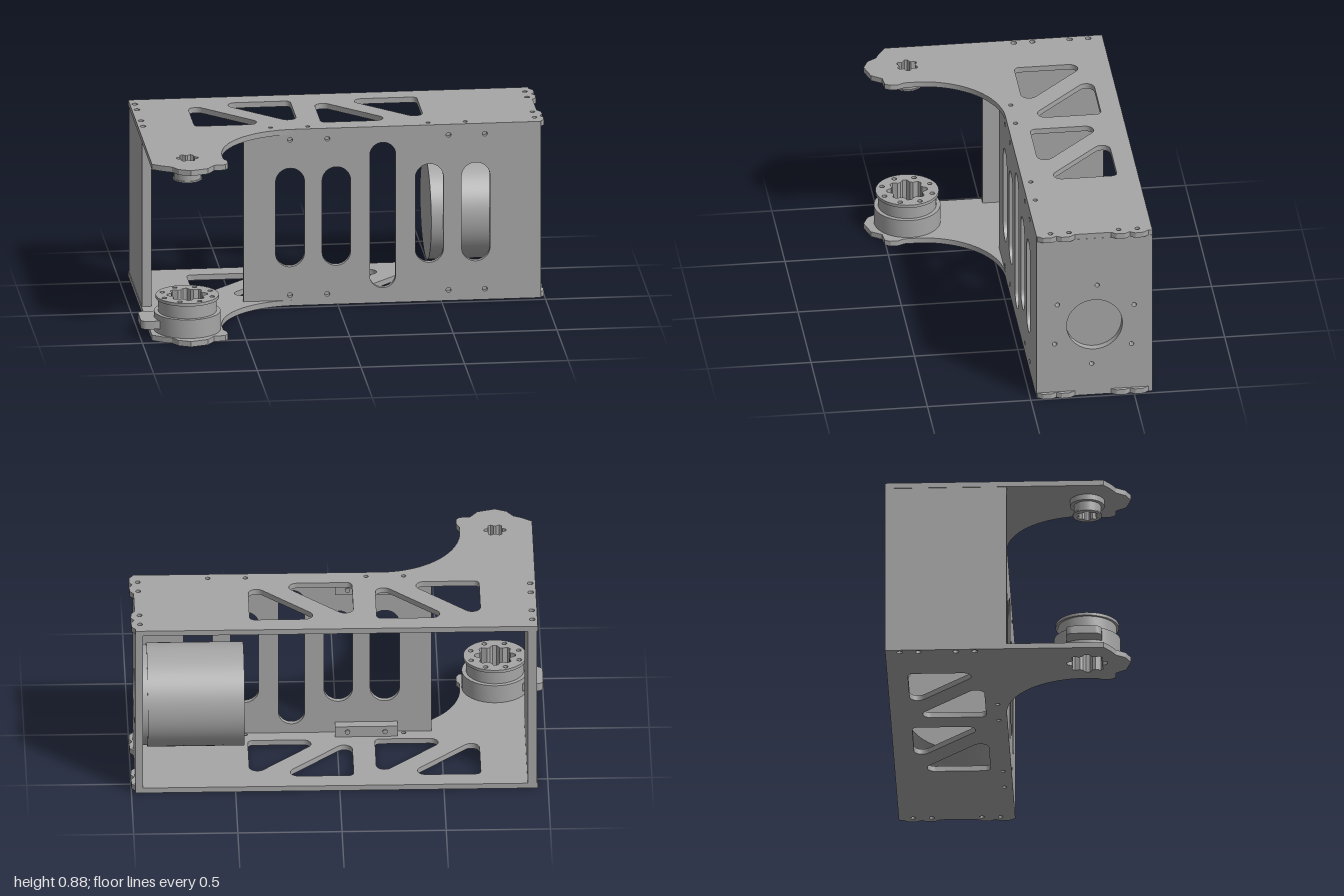
import * as THREE from 'three';
import { toCreasedNormals } from 'three/addons/utils/BufferGeometryUtils.js';

const metal = new THREE.MeshStandardMaterial({ color: 0xa6a6a6 });
metal.name = 'plain grey metal';

const V = (x, y) => new THREE.Vector2(x, y);

// Closed path through corners, each rounded with its own radius: [x, y, r]
function rounded(corners, Type = THREE.Path) {
  const pts = [];
  corners.forEach(([x, y, r], i) => {
    const p = V(x, y), n = corners.length;
    const a = V(...corners[(i + n - 1) % n]).sub(p).normalize();
    const b = V(...corners[(i + 1) % n]).sub(p).normalize();
    const half = Math.acos(a.dot(b)) / 2;
    const c = a.clone().add(b).normalize().multiplyScalar(r / Math.sin(half)).add(p);
    const t = r / Math.tan(half);
    const s = a.multiplyScalar(t).add(p).sub(c).angle();
    let d = b.multiplyScalar(t).add(p).sub(c).angle() - s;
    if (d > Math.PI) d -= 2 * Math.PI;
    if (d < -Math.PI) d += 2 * Math.PI;
    for (let k = 0; k <= 8; k++) {
      pts.push(V(c.x + r * Math.cos(s + d * k / 8), c.y + r * Math.sin(s + d * k / 8)));
    }
  });
  return new Type(pts);
}

const circle = (x, y, r, Type = THREE.Path) => new Type().absarc(x, y, r, 0, Math.PI * 2, false);

// Splined bore: circle with a wavy radius
function splined(x, y, r, wave, lobes) {
  const pts = [];
  for (let i = 0; i < lobes * 8; i++) {
    const t = i / (lobes * 8) * Math.PI * 2;
    const q = r + wave * Math.max(-0.6, Math.min(0.6, Math.cos(lobes * t))) / 0.6;
    pts.push(V(x + q * Math.cos(t), y + q * Math.sin(t)));
  }
  return new THREE.Path(pts);
}

// Vertical slot with round ends
function slot(x0, x1, y0, y1) {
  const r = (x1 - x0) / 2, c = (x0 + x1) / 2;
  const p = new THREE.Path();
  p.absarc(c, y1 - r, r, 0, Math.PI, false);
  p.absarc(c, y0 + r, r, Math.PI, Math.PI * 2, false);
  p.closePath();
  return p;
}

function extrude(shape, depth) {
  const g = new THREE.ExtrudeGeometry(shape, { depth, bevelEnabled: false, curveSegments: 24 });
  return toCreasedNormals(g, 0.5);
}

// Shapes lying flat use (x, -z) and rise from height y
const flat = (shape, y, h) => extrude(shape, h).rotateX(-Math.PI / 2).translate(0, y, 0);

export function createModel() {
  const model = new THREE.Group();
  const add = (name, geometry) => {
    const m = new THREE.Mesh(geometry, metal);
    m.name = name;
    model.add(m);
    return m;
  };
  const box = (name, x0, x1, y0, y1, z0, z1) => add(name,
    new THREE.BoxGeometry(x1 - x0, y1 - y0, z1 - z0)
      .translate((x0 + x1) / 2, (y0 + y1) / 2, (z0 + z1) / 2));

  const T = 0.027, H = 0.885;
  const hubX = -0.77, hubZ = 0.375;
  const screwX = [-0.32, -0.14, 0.44, 0.62];

  // Top and bottom plates: deck, curved arm and truss cut-outs
  function plate(isTop) {
    const s = new THREE.Shape();
    s.moveTo(-0.95, 0.59);
    s.lineTo(-0.95, -0.46);
    [[-0.9, 0.495], [-0.86, 0.515], [-0.83, 0.56], [-0.775, 0.585], [-0.69, 0.56], [-0.655, 0.51],
      [-0.6, 0.505], [-0.585, 0.48], [-0.585, 0.44], [-0.6, 0.41]].forEach(([x, z]) => s.lineTo(x, -z));
    s.absarc(-0.21, -0.36, 0.39, Math.PI, Math.PI / 2, true);
    s.lineTo(0.98, 0.03);
    // scalloped tabs on the right edge
    for (const z of [-0.125, -0.48]) {
      for (const [x, dz] of [[0.98, 0.09], [0.998, 0.065], [1, 0.025], [0.985, 0],
        [1, -0.025], [0.998, -0.065], [0.98, -0.09]]) s.lineTo(x, -(z + dz));
    }
    s.lineTo(0.98, 0.59);
    s.closePath();
    const m = z => (isTop ? -z : 0.62 + z);   // lower truss is mirrored
    for (const o of [0, 0.61]) {
      s.holes.push(
        rounded([[-0.68 + o, m(-0.49), 0.04], [-0.68 + o, m(-0.13), 0.025], [-0.32 + o, m(-0.13), 0.04]]),
        rounded([[-0.18 + o, m(-0.13), 0.04], [-0.18 + o, m(-0.49), 0.025], [-0.54 + o, m(-0.49), 0.04]]));
    }
    screwX.forEach(x => s.holes.push(circle(x, 0.07, 0.011)));
    for (const z of [-0.52, -0.43, -0.25, -0.16]) s.holes.push(circle(-0.925, -z, 0.014));
    for (const z of [-0.52, -0.43, -0.19, -0.1]) s.holes.push(circle(0.957, -z, 0.012));
    s.holes.push(isTop ? splined(hubX, -hubZ, 0.046, 0.007, 6) : splined(hubX, -hubZ, 0.088, 0.01, 8));
    return s;
  }
  add('topPlate', flat(plate(true), H - T, T));
  add('bottomPlate', flat(plate(false), 0, T));

  // Front plate with five slots
  const front = new THREE.Shape([V(-0.455, T), V(0.945, T), V(0.945, H - T), V(-0.455, H - T)]);
  [[-0.3, -0.16, 0.195, 0.69], [-0.075, 0.062, 0.195, 0.69], [0.155, 0.28, 0.075, 0.805],
    [0.375, 0.51, 0.195, 0.69], [0.598, 0.735, 0.195, 0.69]].forEach(a => front.holes.push(slot(...a)));
  for (const x of [-0.23, -0.05, 0.535, 0.71]) {
    for (const y of [0.053, 0.832]) front.holes.push(circle(x, y, 0.012));
  }
  add('frontPlate', extrude(front, 0.026).translate(0, 0, -0.056));

  // Right end wall with shaft opening and a ring of screw holes
  const side = new THREE.Shape([V(0.03, T), V(0.59, T), V(0.59, H - T), V(0.03, H - T)]);
  side.holes.push(circle(0.31, 0.385, 0.135));
  for (let i = 0; i < 6; i++) {
    const a = Math.PI * (i / 3 + 0.48);
    side.holes.push(circle(0.31 + 0.215 * Math.cos(a), 0.385 + 0.215 * Math.sin(a), 0.011));
  }
  add('motorWall', extrude(side, 0.036).rotateY(Math.PI / 2).translate(0.945, 0, 0));

  // Plain wall at the other end
  box('endWall', -0.947, -0.902, T, H - T, -0.59, -0.006);

  // Motor and its mounting flange
  const drum = (name, r, x0, x1) => add(name,
    new THREE.CylinderGeometry(r, r, x1 - x0, 64).rotateZ(Math.PI / 2).translate((x0 + x1) / 2, 0.385, -0.31));
  drum('motor', 0.25, 0.455, 0.92);
  drum('motorFlange', 0.243, 0.92, 0.945);

  // Corner brackets behind the front plate, with screw heads
  for (const cx of [-0.14, 0.6225]) {
    for (const y of [T, H - T - 0.055]) {
      box('cornerBracket', cx - 0.15, cx + 0.15, y, y + 0.055, -0.105, -0.056);
      for (const dx of [-0.09, 0.09]) {
        add('bracketScrew', new THREE.CylinderGeometry(0.012, 0.012, 0.008, 16)
          .rotateX(Math.PI / 2).translate(cx + dx, y + 0.027, -0.108));
      }
    }
  }

  // Bearing hubs: stacked rings around a splined bore
  function ring(name, r, y0, y1, bore, screws) {
    const s = circle(hubX, -hubZ, r, THREE.Shape);
    s.holes.push(bore);
    for (let i = 0; i < screws; i++) {
      const a = (i + 0.5) / screws * Math.PI * 2;
      s.holes.push(circle(hubX + 0.125 * Math.cos(a), -hubZ + 0.125 * Math.sin(a), 0.012));
    }
    add(name, flat(s, y0, y1 - y0));
  }
  const wide = () => splined(hubX, -hubZ, 0.088, 0.01, 8);
  const narrow = () => splined(hubX, -hubZ, 0.046, 0.007, 6);
  ring('lowerHubBase', 0.16, T, 0.12, wide(), 0);
  ring('lowerHubBody', 0.14, 0.12, 0.185, wide(), 0);
  ring('lowerHubRim', 0.152, 0.185, 0.2, wide(), 8);
  ring('upperHubFlange', 0.083, 0.83, H - T, narrow(), 0);
  ring('upperHubBody', 0.065, 0.787, 0.83, narrow(), 0);
  ring('upperHubRim', 0.07, 0.78, 0.787, narrow(), 0);

  // Side lug on the lower hub
  const lug = rounded([[-1, -0.28, 0.03], [-1, -0.45, 0.03], [-0.88, -0.45, 0.005], [-0.88, -0.28, 0.005]], THREE.Shape);
  add('hubLug', flat(lug, 0.053, 0.04));

  return model;
}
